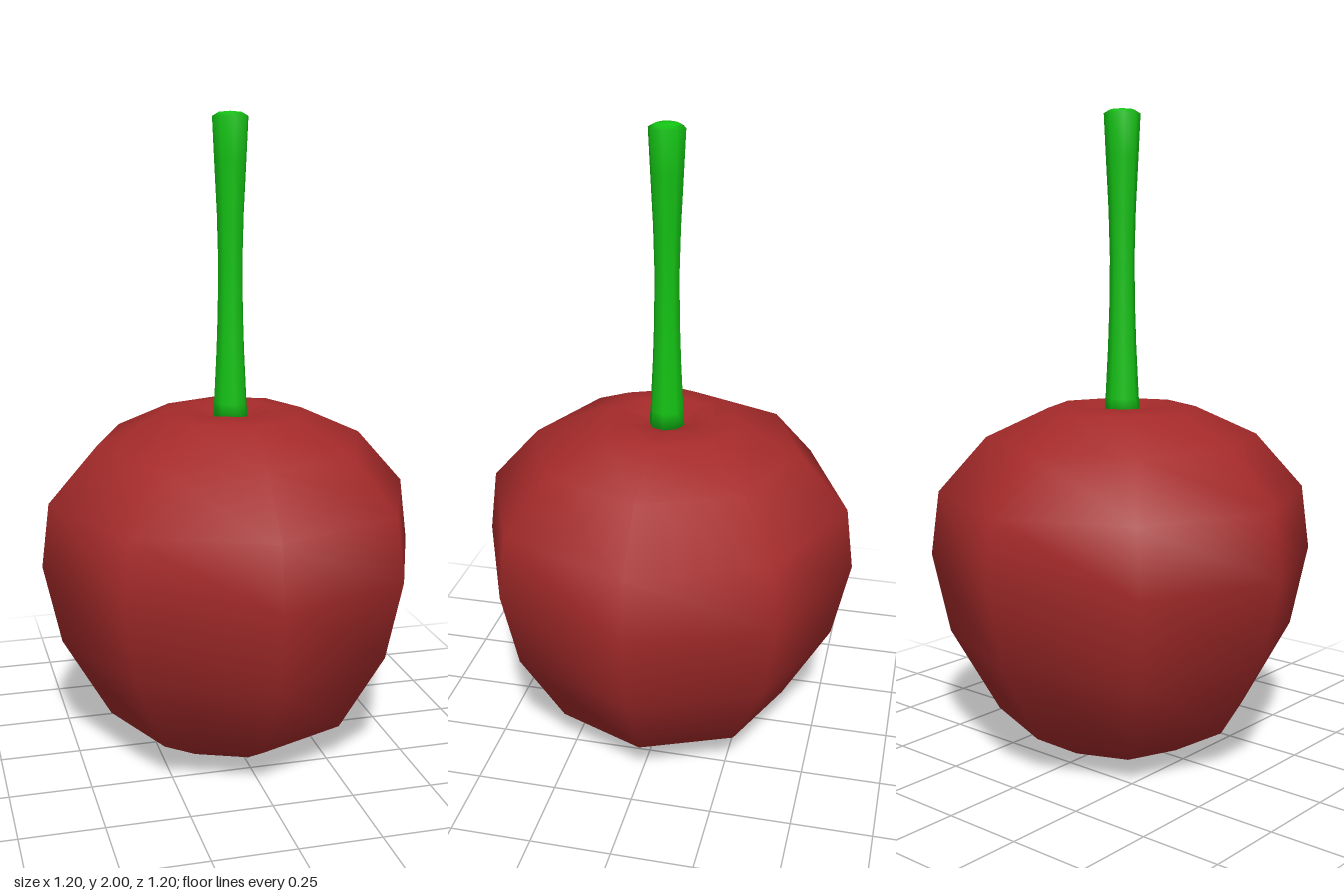
import * as THREE from 'three';

const SIDES = 8;

// Smooth eight-sided solid turned from a bottom-to-top profile of [radius, height]
function turned(name, profile, color) {
  const points = profile.map(([r, y]) => new THREE.Vector2(r, y));
  const mesh = new THREE.Mesh(
    new THREE.LatheGeometry(points, SIDES),
    new THREE.MeshStandardMaterial({ color })
  );
  mesh.name = name;
  return mesh;
}

export function createModel() {
  const model = new THREE.Group();
  model.name = 'cherry';

  // Fruit: narrow base, wide shoulders and a shallow dimple on top
  model.add(turned('fruit', [
    [0, 0], [0.22, 0.02], [0.395, 0.12], [0.545, 0.38], [0.6, 0.63],
    [0.575, 0.83], [0.425, 1.0], [0.23, 1.09], [0.14, 1.1],
    [0.06, 1.07], [0, 1.05],
  ], 0xa52a2a));

  // Stem: slim in the middle, flared at both ends, slightly domed tip
  model.add(turned('stem', [
    [0, 1.05], [0.056, 1.06], [0.052, 1.12], [0.044, 1.28], [0.04, 1.4],
    [0.038, 1.55], [0.042, 1.7], [0.05, 1.86], [0.056, 1.985], [0.035, 1.997], [0, 2],
  ], 0x14c414));

  return model;
}
